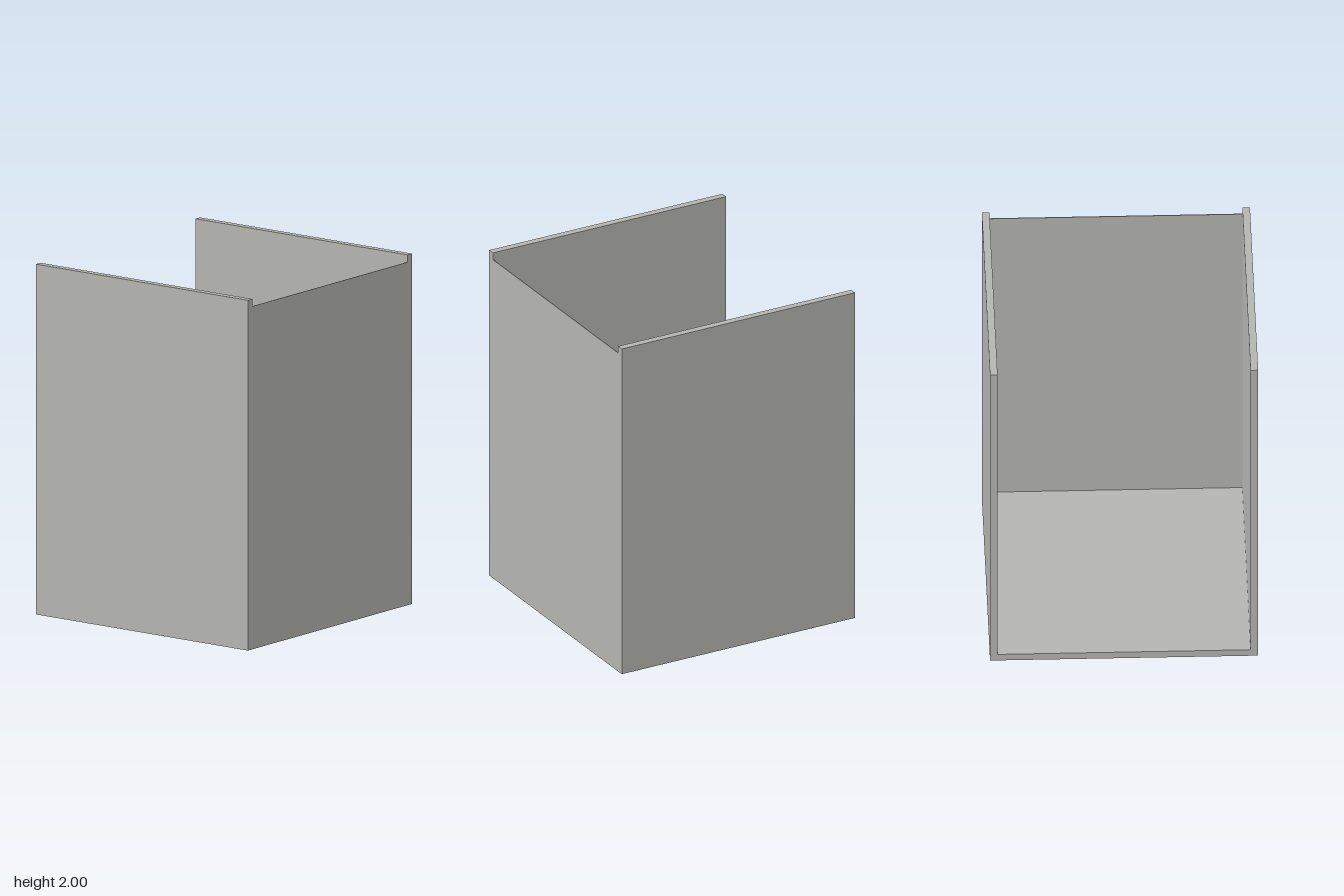
import * as THREE from 'three';

const W = 1.494;      // outer width and depth
const H = 2;          // full height
const T = 0.042;      // board thickness
const SHEET = 0.005;  // front sheet thickness

export function createModel() {
  const group = new THREE.Group();
  const grey = new THREE.MeshStandardMaterial({ color: 0xb4b4b0 });
  grey.name = 'light grey';

  const addBoard = (name, w, h, d, x, y, z) => {
    const mesh = new THREE.Mesh(new THREE.BoxGeometry(w, h, d), grey);
    mesh.name = name;
    mesh.position.set(x, y, z);
    group.add(mesh);
  };

  // Tall side walls, mirrored
  for (const [name, s] of [['leftWall', 1], ['rightWall', -1]]) {
    addBoard(name, T, H, W, s * (W - T) / 2, H / 2, 0);
  }

  // Floor and thin front sheet, both fitted between the walls
  const inner = W - 2 * T;
  const frontHeight = H - T;
  addBoard('floor', inner, T, W - SHEET, 0, T / 2, -SHEET / 2);
  addBoard('frontPanel', inner, frontHeight, SHEET, 0, frontHeight / 2, (W - SHEET) / 2);

  return group;
}
